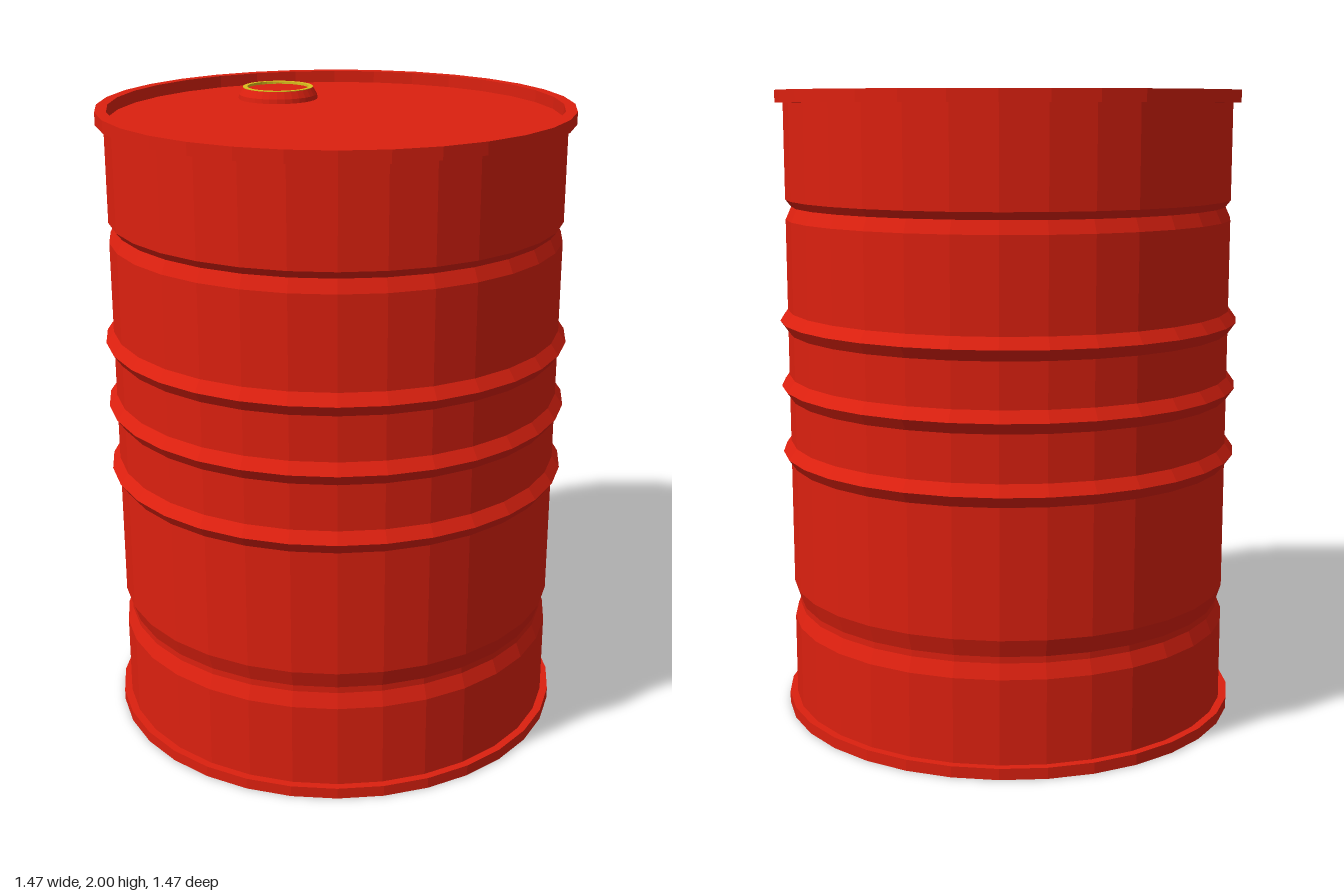
import * as THREE from 'three';

const SIDES = 32;

// Faceted solid of revolution; points run from bottom to top for outward faces
function turned(name, points, material, sides = SIDES) {
  const profile = points.map(([r, y]) => new THREE.Vector2(r, y));
  const mesh = new THREE.Mesh(new THREE.LatheGeometry(profile, sides), material);
  mesh.name = name;
  return mesh;
}

export function createModel() {
  const red = new THREE.MeshStandardMaterial({ color: 0xdc200f, flatShading: true });
  const yellow = new THREE.MeshStandardMaterial({ color: 0xdcc01e, flatShading: true });
  const model = new THREE.Group();
  model.name = 'oilDrum';

  const R = 0.71, RIM = 0.735, GROOVE = 0.692;
  const lidY = 1.962;

  // Outward ridge around the wall
  const rib = (y) => [[R, y - 0.035], [RIM, y], [R, y + 0.035]];

  // Drum wall with bottom disc, ribs and pressed grooves
  model.add(turned('drumBody', [
    [0, 0], [RIM, 0], [RIM, 0.035], [R, 0.035],
    [R, 0.3], [GROOVE, 0.345], [GROOVE, 0.365], [R, 0.42],
    ...rib(0.855), ...rib(1.07), ...rib(1.28),
    [R, 1.6], [GROOVE, 1.64], [R, 1.663], [R, 1.675],
    [R, 1.962], [RIM, 1.962], [RIM, 2], [0.7, 2], [0.7, lidY], [0, lidY],
  ], red));

  // Filler cap standing on the recessed lid
  const cap = new THREE.Group();
  cap.name = 'fillerCap';
  cap.position.set(0.045, lidY, -0.405);
  cap.add(turned('capBase', [
    [0.13, 0], [0.128, 0.014], [0.115, 0.036], [0.103, 0.036], [0.103, 0.03], [0, 0.03],
  ], red));
  cap.add(turned('capRing', [
    [0.115, 0.03], [0.115, 0.038], [0.101, 0.038], [0.101, 0.03],
  ], yellow));
  model.add(cap);

  return model;
}
